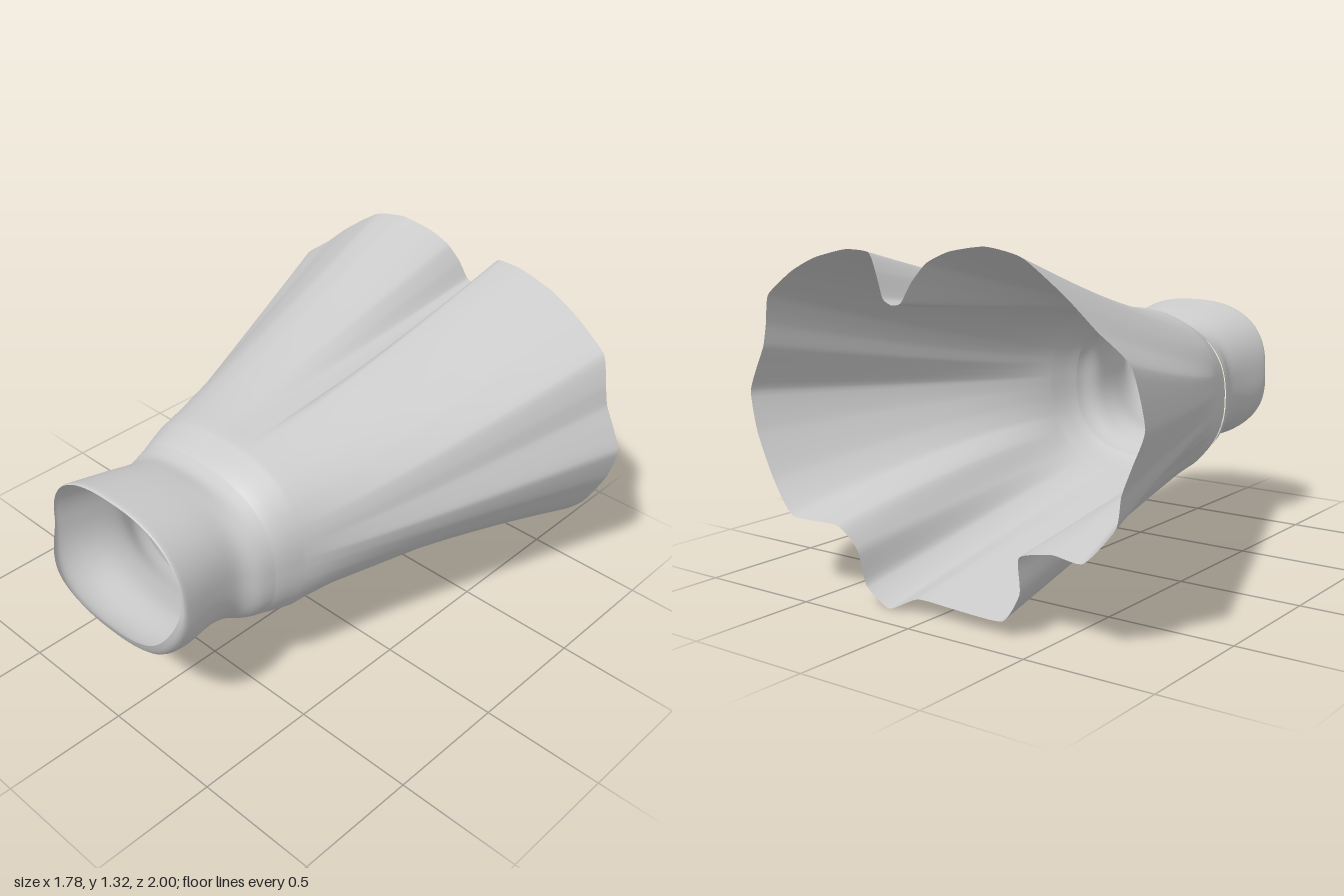
import * as THREE from 'three';

const SEG = 210;
const material = new THREE.MeshStandardMaterial({ color: 0xcccccc, side: THREE.DoubleSide });
const { smoothstep, lerp } = THREE.MathUtils;

// Point on a rounded-box oval at a given angle. The lower part leans from zTop to zBot.
function ovalPoint(angle, [zTop, zBot, yTop, yBot, halfWidth]) {
  const n = 2.45, c = Math.cos(angle), s = Math.sin(angle);
  const halfHeight = (yTop - yBot) / 2;
  const r = (Math.abs(c / halfWidth) ** n + Math.abs(s / halfHeight) ** n) ** (-1 / n);
  const y = (yTop + yBot) / 2 + r * s;
  const low = smoothstep((yTop - y) / (yTop - yBot), 0.48, 0.93);
  return new THREE.Vector3(r * c - 0.006, y, lerp(zTop, zBot, low));
}

// Skin a list of closed rings, ordered from front to back.
function loft(name, rings) {
  const positions = [], index = [];
  rings.forEach((ring) => ring.forEach((p) => positions.push(p.x, p.y, p.z)));
  for (let j = 0; j < rings.length - 1; j++) {
    for (let i = 0; i < SEG; i++) {
      const a = j * SEG + i, b = j * SEG + (i + 1) % SEG;
      index.push(a, a + SEG, b, b, a + SEG, b + SEG);
    }
  }
  const geometry = new THREE.BufferGeometry();
  geometry.setAttribute('position', new THREE.Float32BufferAttribute(positions, 3));
  geometry.setIndex(index);
  geometry.computeVertexNormals();
  const mesh = new THREE.Mesh(geometry, material);
  mesh.name = name;
  return mesh;
}

// Smooth a list of ring settings into more rings.
function refine(sections, count) {
  return Array.from({ length: count + 1 }, (_, k) => {
    const t = (k / count) * (sections.length - 1);
    const i = Math.min(Math.floor(t), sections.length - 2), f = t - i;
    const at = (m, v) => sections[Math.max(0, Math.min(sections.length - 1, m))][v];
    return sections[0].map((_, v) => {
      const p0 = at(i - 1, v), p1 = at(i, v), p2 = at(i + 1, v), p3 = at(i + 2, v);
      return p1 + 0.5 * f * (p2 - p0 + f * (2 * p0 - 5 * p1 + 4 * p2 - p3 + f * (3 * (p1 - p2) + p3 - p0)));
    });
  });
}

// Wavy hem: counterclockwise seen from the front, starting at the model's left
const hem = [
  [0.89, 0.73, -0.88], [0.85, 0.83, -0.88], [0.81, 0.91, -0.88], [0.79, 1.0, -0.88], [0.75, 1.11, -0.9],
  [0.6, 1.205, -0.92], [0.46, 1.26, -0.94], [0.3, 1.295, -0.95], [0.18, 1.29, -0.96], [0.13, 1.23, -0.98],
  [0.09, 1.14, -0.99], [0.04, 1.12, -1], [0, 1.13, -1], [-0.04, 1.2, -0.99], [-0.09, 1.265, -0.97],
  [-0.18, 1.305, -0.96], [-0.32, 1.325, -0.95], [-0.46, 1.295, -0.94], [-0.62, 1.18, -0.93], [-0.73, 1.08, -0.92],
  [-0.85, 0.98, -0.91], [-0.895, 0.79, -0.9], [-0.85, 0.67, -0.9], [-0.81, 0.57, -0.9], [-0.79, 0.46, -0.9],
  [-0.68, 0.335, -0.92], [-0.55, 0.34, -0.91], [-0.4, 0.3, -0.89], [-0.395, 0.17, -0.88], [-0.32, 0.06, -0.88],
  [-0.12, 0.06, -0.88], [0.06, 0.065, -0.88], [0.2, 0.003, -0.88], [0.31, 0.07, -0.88], [0.34, 0.2, -0.89],
  [0.42, 0.285, -0.91], [0.64, 0.29, -0.92], [0.76, 0.41, -0.9], [0.85, 0.58, -0.89],
].map((p) => new THREE.Vector3(...p));

export function createModel() {
  const group = new THREE.Group();
  group.name = 'flaredSkirt';

  // Waistband: a gathered tube whose lower front edge rolls forward
  const band = [
    [0.935, 1.0, 0.985, 0.47, 0.35], [0.925, 0.965, 0.99, 0.405, 0.362], [0.88, 0.88, 0.985, 0.38, 0.358],
    [0.75, 0.75, 0.965, 0.385, 0.338], [0.65, 0.65, 0.945, 0.36, 0.335], [0.58, 0.58, 0.93, 0.335, 0.372],
    [0.525, 0.525, 0.945, 0.32, 0.388],
  ];
  const angles = Array.from({ length: SEG }, (_, i) => (i / SEG) * Math.PI * 2);
  group.add(loft('waistband', refine(band, 24).map((s) => angles.map((a) => ovalPoint(a, s)))));

  // Skirt: each hem point runs to the waist, with more cloth gathered above and below
  const hemCurve = new THREE.CatmullRomCurve3(hem, true, 'catmullrom', 0.28);
  const hemRing = Array.from({ length: SEG }, (_, i) => hemCurve.getPoint(i / SEG));
  const hemAngles = hemRing.map((p) => {
    const a = Math.atan2(p.y - 0.66, p.x);
    return a - 0.18 * Math.sin(2 * a);
  });
  const yoke = refine([
    [0.54, 0.54, 0.935, 0.33, 0.375], [0.49, 0.49, 0.965, 0.307, 0.395], [0.4, 0.4, 1.0, 0.287, 0.422],
  ], 8).map((s) => hemAngles.map((a) => ovalPoint(a, s)));
  const top = yoke[yoke.length - 1];
  const rows = 24;
  const flare = Array.from({ length: rows }, (_, k) => {
    const t = (k + 1) / rows;
    return top.map((p, i) => {
      const h = hemRing[i];
      // Concave sweep above, and side folds that droop only toward the hem
      const power = h.y > p.y ? 1.2 : 1 + 0.7 * smoothstep(Math.abs(h.x), 0.34, 0.44);
      return new THREE.Vector3(lerp(p.x, h.x, t ** 0.95), lerp(p.y, h.y, t ** power), lerp(p.z, h.z, t));
    });
  });
  group.add(loft('skirt', [...yoke, ...flare]));
  return group;
}
